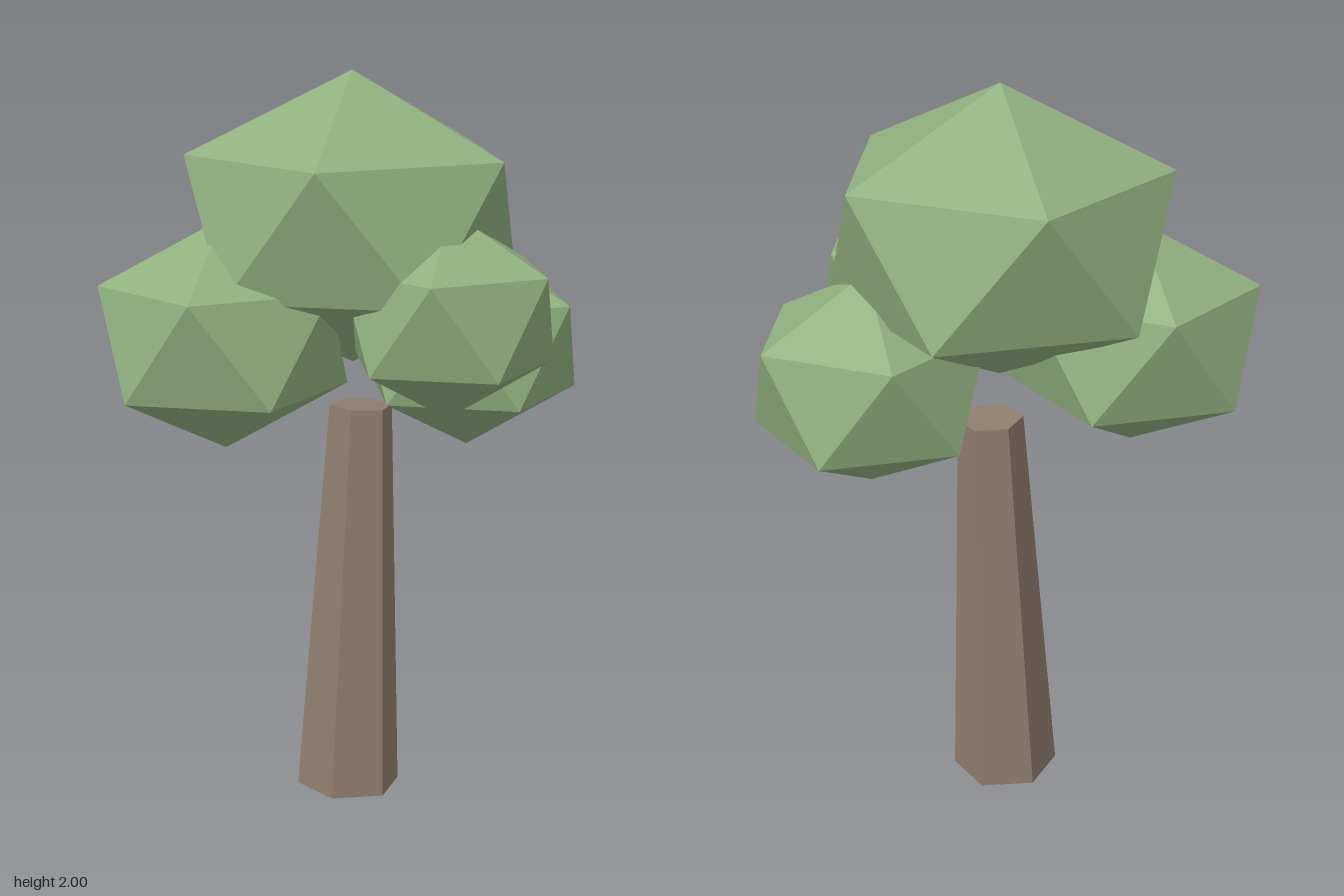
import * as THREE from 'three';

const leafMaterial = new THREE.MeshStandardMaterial({ color: 0x8fb07f, flatShading: true });
const barkMaterial = new THREE.MeshStandardMaterial({ color: 0x8f7d6d, flatShading: true });

// Icosahedron standing on a corner, with an upper-ring corner facing +x
function leafClump(name, radius, halfHeight, x, y, z) {
  const geometry = new THREE.IcosahedronGeometry(1, 0);
  geometry.rotateZ(Math.PI / 2 - Math.atan((1 + Math.sqrt(5)) / 2));
  geometry.rotateY(Math.PI);
  geometry.scale(radius, halfHeight, radius);
  geometry.computeVertexNormals();
  const mesh = new THREE.Mesh(geometry, leafMaterial);
  mesh.name = name;
  mesh.position.set(x, y, z);
  return mesh;
}

export function createModel() {
  const tree = new THREE.Group();
  tree.name = 'tree';

  // Tapered six-sided trunk, leaning slightly towards +x
  const trunk = new THREE.Mesh(new THREE.CylinderGeometry(0.087, 0.145, 1.095, 6), barkMaterial);
  trunk.name = 'trunk';
  trunk.position.set(0.005, 0.553, -0.066);
  trunk.rotation.z = -0.046;
  tree.add(trunk);

  // Crown: one large clump over three smaller ones
  const crown = new THREE.Group();
  crown.name = 'crown';
  crown.add(
    leafClump('topLeaves', 0.494, 0.388, 0.005, 1.612, -0.07),
    leafClump('rightLeaves', 0.364, 0.307, -0.32, 1.321, -0.215),
    leafClump('leftLeaves', 0.341, 0.29, 0.335, 1.246, 0.038),
    leafClump('frontLeaves', 0.31, 0.272, 0.043, 1.392, 0.257),
  );
  tree.add(crown);
  return tree;
}
